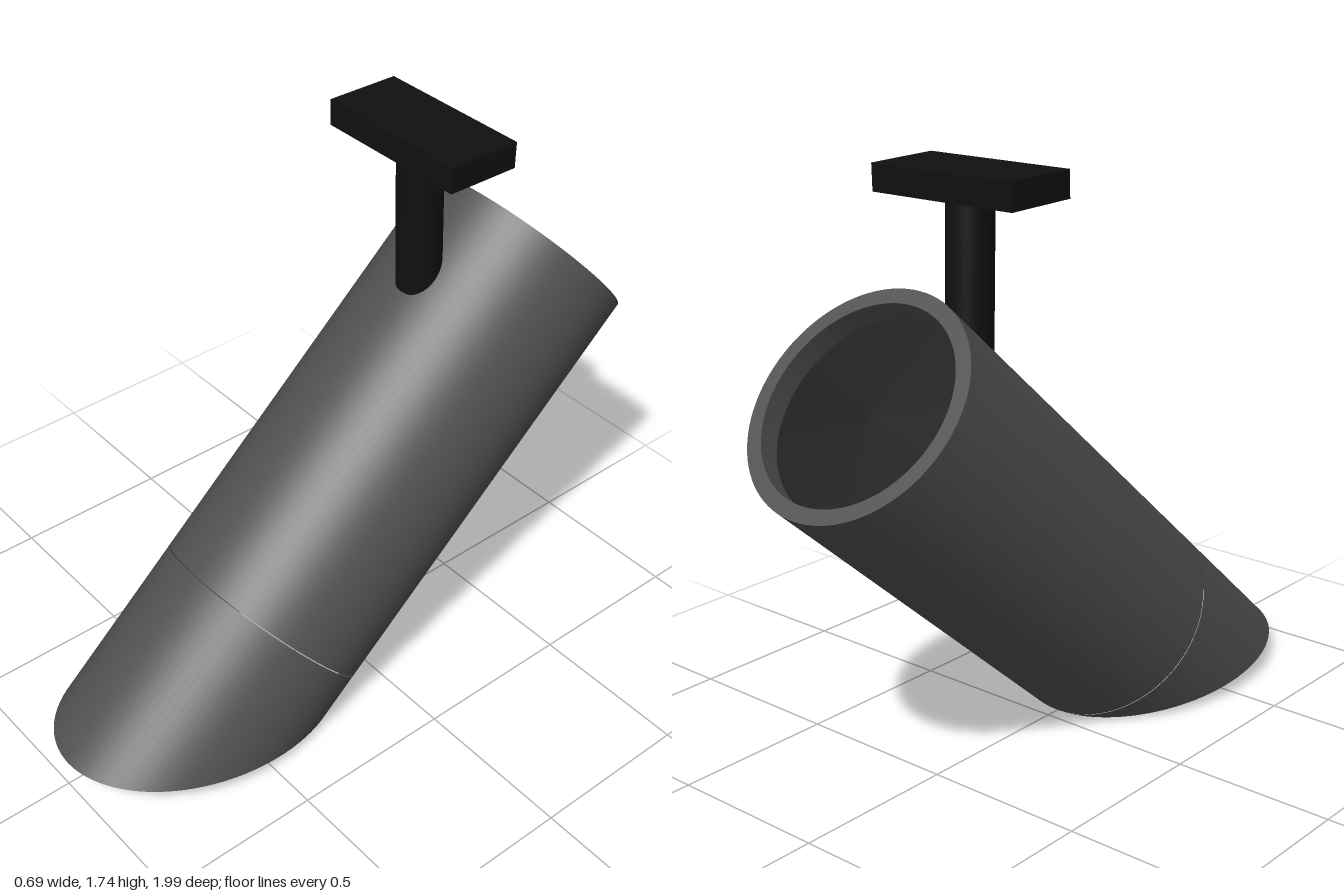
import * as THREE from 'three';
import { toCreasedNormals } from 'three/addons/utils/BufferGeometryUtils.js';

const R = 0.345, INNER = 0.3, LENGTH = 1.387, RECESS = 0.07, SEGMENTS = 96;

export function createModel() {
  const model = new THREE.Group();
  model.name = 'trackSpotlight';

  const grey = new THREE.MeshStandardMaterial({ color: 0x505050 });
  const greyThin = new THREE.MeshStandardMaterial({ color: 0x505050, side: THREE.DoubleSide });
  const black = new THREE.MeshStandardMaterial({ color: 0x101010 });

  const add = (parent, name, geometry, material) => {
    const mesh = new THREE.Mesh(geometry, material);
    mesh.name = name;
    parent.add(mesh);
    return mesh;
  };

  // Lamp head: local y runs from the seam up to the back end
  const head = new THREE.Group();
  head.name = 'lampHead';
  head.position.set(0, 0.261, 0.272);
  head.rotation.x = -0.851;
  model.add(head);

  // Tube with a recess at both ends
  const profile = [
    [INNER, RECESS], [INNER, 0.003], [R, 0.003],
    [R, LENGTH], [INNER, LENGTH], [INNER, LENGTH - RECESS],
  ].map(([x, y]) => new THREE.Vector2(x, y));
  add(head, 'housing', toCreasedNormals(new THREE.LatheGeometry(profile, SEGMENTS), 0.6), grey);

  // Discs closing the recesses
  const disc = new THREE.CircleGeometry(INNER, SEGMENTS);
  const backCover = add(head, 'backCover', disc, black);
  backCover.position.y = LENGTH - RECESS;
  backCover.rotation.x = -Math.PI / 2;
  const lens = add(head, 'lens', disc, grey);
  lens.position.y = RECESS;
  lens.rotation.x = Math.PI / 2;

  // Thin glare shield, its lower edge cut on a slant
  const shield = new THREE.CylinderGeometry(R, R, 1, SEGMENTS, 1, true);
  const p = shield.attributes.position;
  for (let i = 0; i < p.count; i++) {
    p.setY(i, p.getY(i) > 0 ? 0 : -0.659 * (p.getZ(i) + R) / (2 * R));
  }
  add(head, 'glareShield', shield, greyThin);

  // Mounting stem, leaning slightly forward and sunk into the housing
  const stem = add(model, 'stem', new THREE.CylinderGeometry(0.068, 0.068, 0.446, 48), black);
  stem.position.set(0, 1.423, -0.331);
  stem.rotation.x = 0.026;

  // Mounting plate
  const plate = add(model, 'mountingPlate', new THREE.BoxGeometry(0.5, 0.079, 0.234), black);
  plate.position.set(0, 1.695, -0.327);
  plate.rotation.x = -0.022;

  return model;
}
